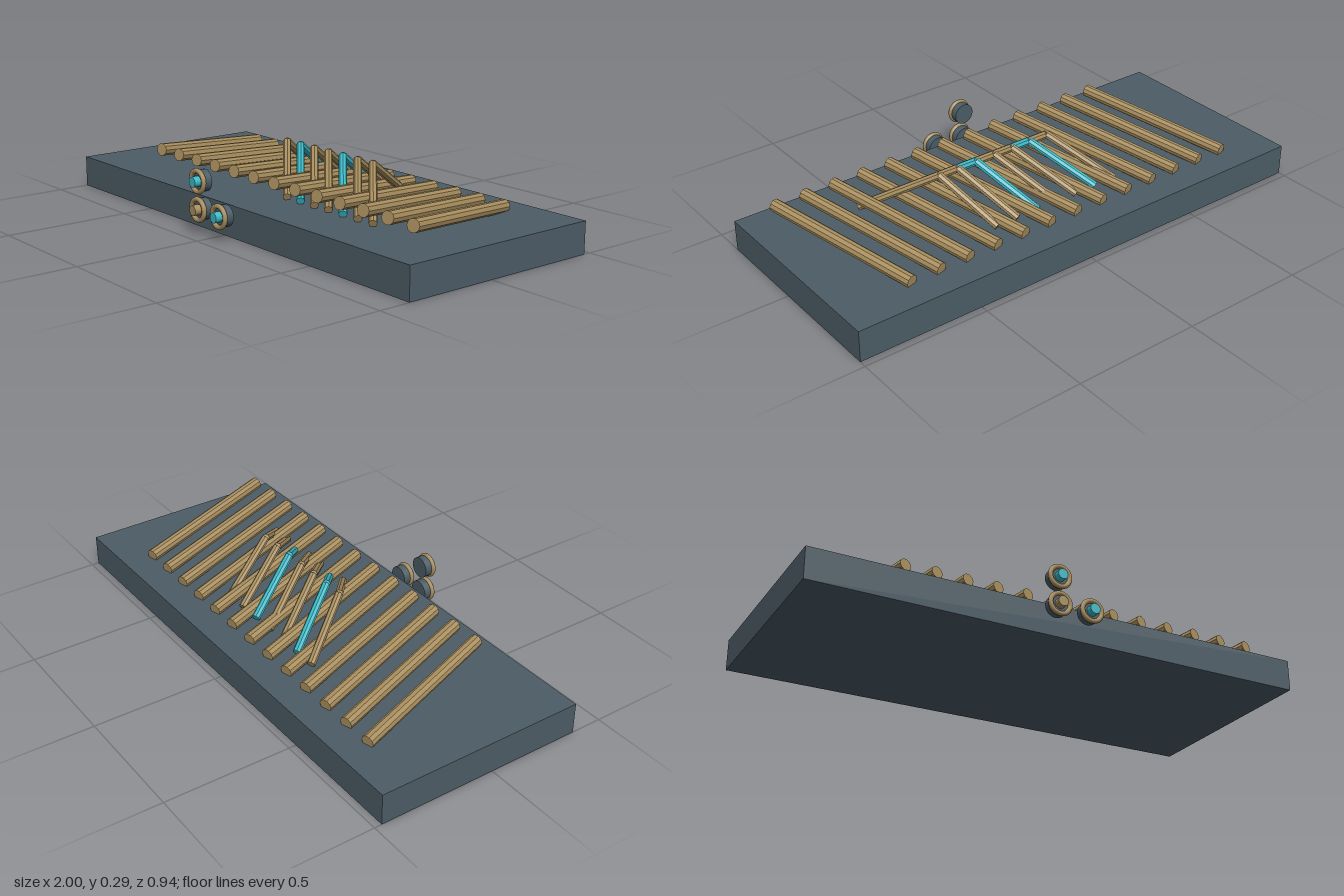
import * as THREE from 'three';

export function createModel() {
  const slate = new THREE.MeshStandardMaterial({ color: 0x4c5c66 });
  const tan = new THREE.MeshStandardMaterial({ color: 0xa88e5e });
  const cyan = new THREE.MeshStandardMaterial({ color: 0x3cbac8 });
  slate.name = 'slate';
  tan.name = 'tan';
  cyan.name = 'cyan';

  const model = new THREE.Group();
  model.name = 'rodBoard';

  const add = (parent, name, geometry, material, x = 0, y = 0, z = 0) => {
    const mesh = new THREE.Mesh(geometry, material);
    mesh.name = name;
    mesh.position.set(x, y, z);
    parent.add(mesh);
    return mesh;
  };

  // Straight faceted rod running between two points
  const rod = (parent, name, a, b, radius, sides, material) => {
    const dir = b.clone().sub(a);
    const geo = new THREE.CylinderGeometry(radius, radius, dir.length(), sides).toNonIndexed();
    geo.computeVertexNormals();
    const mesh = add(parent, name, geo, material);
    mesh.position.copy(a).add(b).multiplyScalar(0.5);
    mesh.quaternion.setFromUnitVectors(new THREE.Vector3(0, 1, 0), dir.normalize());
  };
  const v = (x, y, z) => new THREE.Vector3(x, y, z);

  // Base slab
  add(model, 'baseSlab', new THREE.BoxGeometry(2, 0.124, 0.845), slate, 0, 0.062, -0.0485);

  // Row of slanted rods, raised at the front
  const rods = new THREE.Group();
  rods.name = 'slantedRods';
  model.add(rods);
  for (let i = 0; i < 13; i++) {
    const x = i * 0.1233;
    rod(rods, 'slantedRod', v(-0.767 + x, 0.138, -0.36), v(-0.59 + x, 0.209, 0.259), 0.025, 10, tan);
  }

  // Bent ribs, two of them cyan, fanning slightly from front to back
  const ribs = new THREE.Group();
  ribs.name = 'bentRibs';
  model.add(ribs);
  for (let i = 0; i < 7; i++) {
    const material = i === 1 || i === 4 ? cyan : tan;
    const apex = v(-0.14 + i * 0.084, 0.279, -0.032);
    rod(ribs, 'ribBack', v(-0.288 + i * 0.093, 0.137, -0.26), apex, 0.016, 8, material);
    rod(ribs, 'ribFront', apex, v(0.113 + i * 0.08, 0.136, 0.168), 0.016, 8, material);
  }

  // Three round knobs floating before the front edge
  for (const [x, y, tip] of [[-0.068, 0.204, cyan], [-0.068, 0.096, tan], [0.063, 0.096, cyan]]) {
    const knob = new THREE.Group();
    knob.name = 'knob';
    knob.position.set(x, y, 0);
    model.add(knob);
    const disc = (name, radius, depth, z, material) => {
      add(knob, name, new THREE.CylinderGeometry(radius, radius, depth, 20), material, 0, 0, z)
        .rotation.x = Math.PI / 2;
    };
    disc('knobBody', 0.042, 0.034, 0.425, slate);
    add(knob, 'knobRing', new THREE.TorusGeometry(0.04, 0.0095, 8, 24), tan, 0, 0, 0.445);
    disc('knobTip', 0.02, 0.034, 0.453, tip);
  }

  return model;
}
